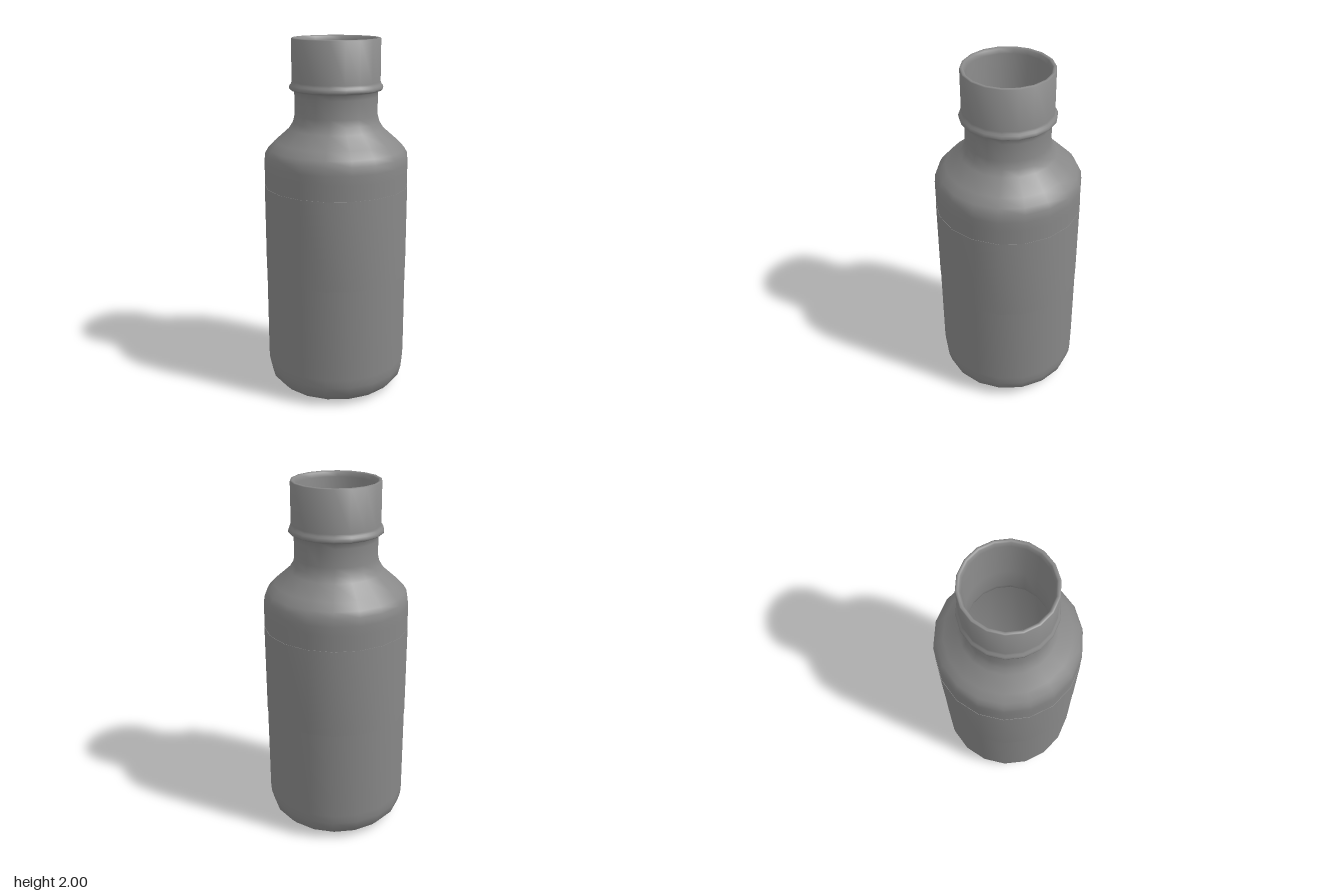
import * as THREE from 'three';
import { toCreasedNormals } from 'three/addons/utils/BufferGeometryUtils.js';

const SIDES = 18;
const PILL_RADIUS = 0.1;

// Revolve a [radius, height] profile; first corner lies on the x axis
function revolve(profile, sides, crease) {
  const points = profile.map(([r, y]) => new THREE.Vector2(r, y));
  return toCreasedNormals(new THREE.LatheGeometry(points, sides, Math.PI / 2), crease);
}

function seeded(seed) {
  return () => {
    seed = (seed * 16807) % 2147483647;
    return seed / 2147483647;
  };
}

export function createModel() {
  const model = new THREE.Group();
  const material = new THREE.MeshStandardMaterial({ color: 0x888888 });
  const add = (name, geometry, parent = model) => {
    const mesh = new THREE.Mesh(geometry, material);
    mesh.name = name;
    parent.add(mesh);
    return mesh;
  };

  // Bottle: outside from the recessed base to the rim, then back down the inside
  add('bottle', revolve([
    [0, 0.035], [0.19, 0.033], [0.225, 0.022], [0.25, 0.007], [0.275, 0], [0.305, 0.004],
    [0.345, 0.025], [0.382, 0.065], [0.397, 0.12], [0.4, 0.17],
    [0.4, 1.28], [0.4, 1.33], [0.395, 1.375], [0.378, 1.405], [0.34, 1.445], [0.26, 1.515],
    [0.238, 1.55], [0.228, 1.59], [0.228, 1.69],
    [0.23, 1.715], [0.237, 1.724], [0.25, 1.725], [0.256, 1.729],
    [0.257, 1.738], [0.253, 1.75], [0.246, 1.758], [0.242, 1.77],
    [0.242, 1.996], [0.238, 2], [0.228, 2], [0.222, 1.994], [0.216, 1.97], [0.214, 1.76], [0.208, 1.73],
    [0.208, 1.58], [0.215, 1.54], [0.24, 1.5], [0.32, 1.43], [0.36, 1.39], [0.375, 1.32],
    [0.375, 0.13], [0.355, 0.08], [0.31, 0.06], [0, 0.06],
  ], SIDES, 0.9));

  // Label: thin sleeve around the body
  add('label', revolve([
    [0.399, 0.695], [0.402, 0.695], [0.402, 1.195], [0.399, 1.195],
  ], SIDES, 0.9));

  // Pills: bevelled tablets
  const pills = new THREE.Group();
  pills.name = 'pills';
  model.add(pills);
  const pillShape = revolve([
    [0, -0.031], [0.084, -0.031], [PILL_RADIUS, -0.018],
    [PILL_RADIUS, 0.018], [0.084, 0.031], [0, 0.031],
  ], 14, 0.5);
  const up = new THREE.Vector3(0, 1, 0);
  const addPill = (x, y, z, nx, ny, nz) => {
    const pill = add('pill', pillShape, pills);
    pill.position.set(x, y, z);
    pill.quaternion.setFromUnitVectors(up, new THREE.Vector3(nx, ny, nz).normalize());
  };

  // Lower heap: staggered rings of randomly tilted pills
  const random = seeded(41);
  for (let layer = 0; layer < 7; layer++) {
    for (let i = 0; i < 7; i++) {
      const angle = (i + layer * 0.5) * Math.PI / 3;
      const r = i === 6 ? 0.02 : 0.21 + 0.04 * random();
      addPill(r * Math.cos(angle), 0.13 + layer * 0.085 + 0.03 * random(), r * Math.sin(angle),
        0.7 * (random() - 0.5), 1, 0.7 * (random() - 0.5));
    }
  }

  // Top of the heap, seen through the neck
  [
    [-0.11, 0.79, -0.12, 0.15, 1, 0.5],
    [0.04, 0.83, -0.095, -0.25, 1, 0.1],
    [0.1, 0.87, -0.085, -0.7, 0.4, -0.6],
    [0.16, 0.79, -0.06, 0.4, 1, 0.2],
    [-0.155, 0.79, 0.08, -0.1, 1, 0.15],
    [0.11, 0.8, 0.08, 0.1, 1, 0.15],
    [-0.04, 0.81, 0.015, 0.05, 0.5, -0.85],
    [-0.02, 0.75, 0.08, 0, 0.8, 0.6],
    [-0.02, 0.76, 0.24, -0.1, 0.9, 0.3],
    [0.08, 0.77, 0.255, 0.2, 1, 0.3],
  ].forEach((p) => addPill(...p));

  return model;
}
